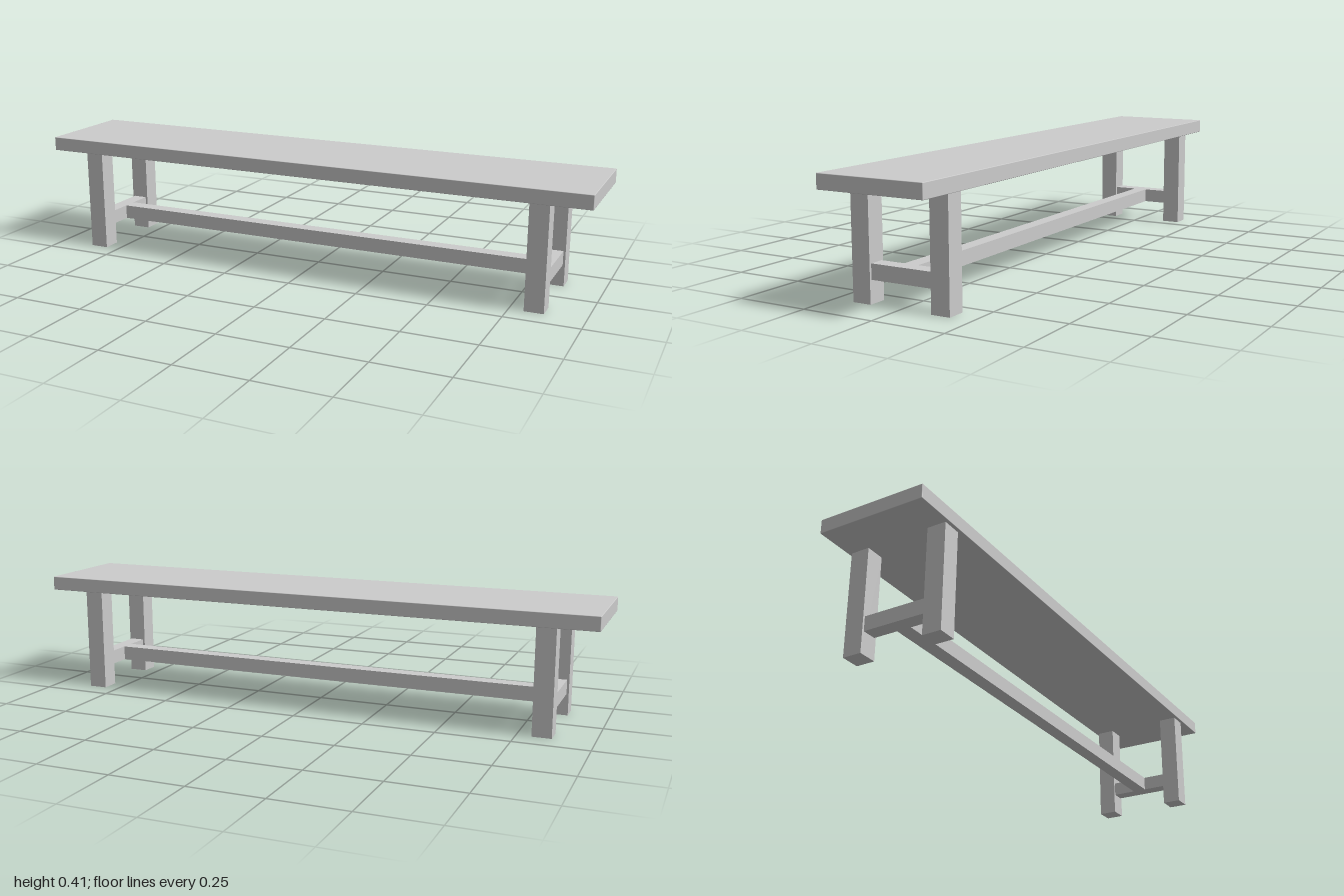
import * as THREE from 'three';
import { RoundedBoxGeometry } from 'three/addons/geometries/RoundedBoxGeometry.js';

export function createModel() {
  const bench = new THREE.Group();
  bench.name = 'bench';
  const material = new THREE.MeshStandardMaterial({ color: 0xcccccc });

  function add(name, geometry, x, y, z) {
    const mesh = new THREE.Mesh(geometry, material);
    mesh.name = name;
    mesh.position.set(x, y, z);
    bench.add(mesh);
  }

  const seatBottom = 0.36, seatThickness = 0.049, seatDepth = 0.373;
  const legSize = 0.065, legX = 0.8325, legZ = 0.1425;
  const railSize = 0.05, railY = 0.1;

  // Seat plank with slightly eased edges
  add('seat', new RoundedBoxGeometry(2, seatThickness, seatDepth, 2, 0.002),
    0, seatBottom + seatThickness / 2, 0);

  // Legs, and a cross rail joining each end pair
  const legGeometry = new THREE.BoxGeometry(legSize, seatBottom, legSize);
  const crossGeometry = new THREE.BoxGeometry(railSize, railSize, 2 * legZ - legSize);
  for (const sx of [-1, 1]) {
    const side = sx > 0 ? 'left' : 'right';
    for (const sz of [-1, 1]) {
      add(`${side}${sz > 0 ? 'Front' : 'Back'}Leg`, legGeometry, sx * legX, seatBottom / 2, sz * legZ);
    }
    add(`${side}CrossRail`, crossGeometry, sx * legX, railY, 0);
  }

  // Long stretcher between the cross rails
  add('stretcher', new THREE.BoxGeometry(2 * legX - railSize, railSize, railSize), 0, railY, 0);

  return bench;
}
